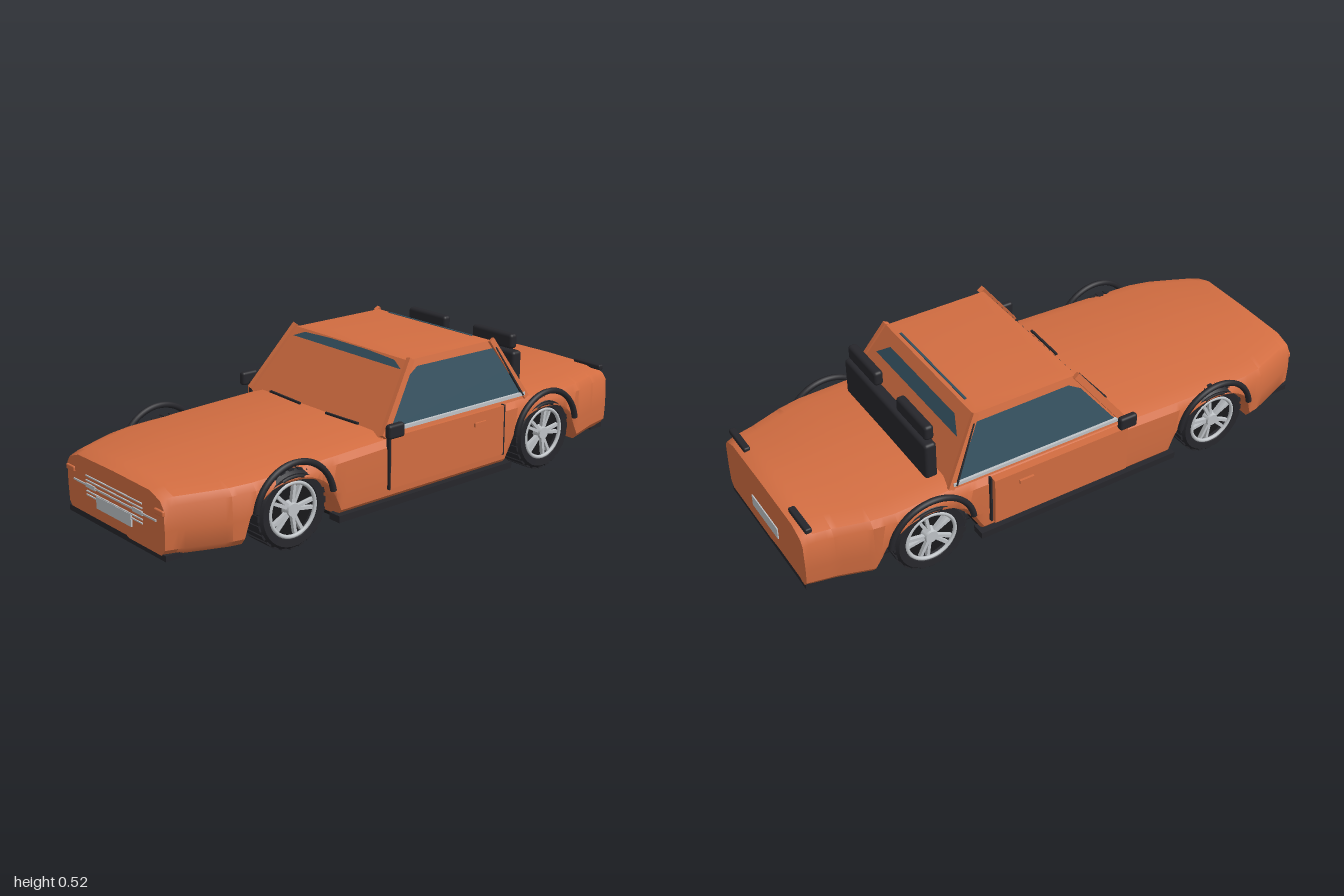
import * as THREE from 'three';
import { toCreasedNormals } from 'three/addons/utils/BufferGeometryUtils.js';
import { RoundedBoxGeometry } from 'three/addons/geometries/RoundedBoxGeometry.js';

const mat = (name, color, side = THREE.FrontSide) => {
  const m = new THREE.MeshStandardMaterial({ color, side });
  m.name = name;
  return m;
};

// Linear lookup in a short list of [position, value] pairs, position descending
function lerpTable(t, z) {
  for (let i = 0; i < t.length - 1; i++) {
    const [z0, v0] = t[i], [z1, v1] = t[i + 1];
    if (z <= z0 && z >= z1) return v0 + (v1 - v0) * (z0 - z) / (z0 - z1);
  }
  return z > t[0][0] ? t[0][1] : t[t.length - 1][1];
}

// Skin over closed rings of equal length, with both ends capped
function loft(rings, crease = 0.5) {
  const out = [], n = rings[0].length;
  const tri = (...p) => p.forEach((q) => out.push(...q));
  for (let k = 0; k < rings.length - 1; k++) for (let i = 0; i < n; i++) {
    const j = (i + 1) % n, a = rings[k], b = rings[k + 1];
    tri(a[i], b[i], b[j]);
    tri(a[i], b[j], a[j]);
  }
  const mid = (r) => [0, 1, 2].map((c) => r.reduce((s, p) => s + p[c], 0) / n);
  const first = rings[0], last = rings[rings.length - 1];
  for (let i = 0; i < n; i++) {
    const j = (i + 1) % n;
    tri(mid(first), first[i], first[j]);
    tri(mid(last), last[j], last[i]);
  }
  const g = new THREE.BufferGeometry();
  g.setAttribute('position', new THREE.Float32BufferAttribute(out, 3));
  return toCreasedNormals(g, crease);
}

// Flat convex face through a few corners
function face(pts) {
  const out = [];
  for (let i = 1; i < pts.length - 1; i++) out.push(...pts[0], ...pts[i], ...pts[i + 1]);
  const g = new THREE.BufferGeometry();
  g.setAttribute('position', new THREE.Float32BufferAttribute(out, 3));
  g.computeVertexNormals();
  return g;
}

export function createModel() {
  const car = new THREE.Group();
  const paint = mat('orange paint', 0xd26d41);
  const black = mat('black trim', 0x26262b);
  const under = mat('underbody black', 0x19191b);
  const glass = mat('tinted glass', 0x34505f, THREE.DoubleSide);
  const silver = mat('silver', 0xbfc3c7);

  const add = (name, geo, m, x = 0, y = 0, z = 0, parent = car) => {
    const mesh = new THREE.Mesh(geo, m);
    mesh.name = name;
    mesh.position.set(x, y, z);
    parent.add(mesh);
    return mesh;
  };
  const box = (name, m, w, h, d, x, y, z, parent) => add(name, new THREE.BoxGeometry(w, h, d), m, x, y, z, parent);
  const pad = (name, m, w, h, d, x, y, z, r) => add(name, new RoundedBoxGeometry(w, h, d, 3, r), m, x, y, z);
  const beam = (name, m, a, b, w, d) => {
    const p = new THREE.Vector3(...a), q = new THREE.Vector3(...b);
    const mesh = box(name, m, w, p.distanceTo(q), d, 0, 0, 0);
    mesh.position.copy(p).add(q).multiplyScalar(0.5);
    mesh.quaternion.setFromUnitVectors(new THREE.Vector3(0, 1, 0), q.sub(p).normalize());
  };

  // Lower body with wheel openings
  const axles = [0.575, -0.58];
  const halfWidth = [[1, 0.285], [0.96, 0.298], [0.88, 0.33], [0.8, 0.36], [0.72, 0.375], [0.4, 0.378],
    [-0.7, 0.375], [-0.78, 0.362], [-0.9, 0.325], [-1, 0.305]];
  const topLine = [[1, 0.266], [0.96, 0.274], [0.2, 0.3], [-0.5, 0.31], [-0.97, 0.296], [-1, 0.288]];
  const rings = [];
  for (let k = 0; k <= 100; k++) {
    const z = 1 - k * 0.02;
    const w = lerpTable(halfWidth, z), t = lerpTable(topLine, z), b = 0.064;
    let a = b;
    for (const c of axles) {
      const d = (z - c) / 0.185;
      if (Math.abs(d) < 1) a = b + 0.148 * Math.sqrt(1 - d * d);
    }
    const half = [[0.235, b], [0.235, a], [w - 0.022, a], [w - 0.004, a + 0.022], [w, Math.max(0.15, a + 0.03)],
      [w - 0.003, t - 0.045], [w - 0.02, t - 0.022], [w - 0.075, t - 0.003]];
    rings.push([[0, b, z], ...half.map(([x, y]) => [x, y, z]), [0, t, z],
      ...half.slice().reverse().map(([x, y]) => [-x, y, z])]);
  }
  add('body', loft(rings, 0.6), paint);

  // Cabin shell
  const cabin = [[0.516, 0.25, -0.02, -0.33], [0.508, 0.297, 0.025, -0.37], [0.285, 0.357, 0.192, -0.503]]
    .map(([y, x, f, r]) => [[x, y, f], [x, y, r], [-x, y, r], [-x, y, f]]);
  add('cabin', loft(cabin, 0.3), paint);
  const sideX = (y) => 0.357 - (y - 0.285) * 0.269;
  const frontZ = (y) => 0.192 - (y - 0.285) * 0.749 + 0.003;
  const backZ = (y) => -0.503 + (y - 0.285) * 0.596 - 0.003;

  // Windscreen and rear window strips
  add('windscreen', face([[-0.29, 0.48], [0.29, 0.48], [0.24, 0.5], [0.1, 0.505], [-0.1, 0.505], [-0.24, 0.5]]
    .map(([x, y]) => [x, y, frontZ(y)])), glass);
  add('rearWindow', face([[0.28, 0.425], [-0.28, 0.425], [-0.22, 0.47], [0.22, 0.47]]
    .map(([x, y]) => [x, y, backZ(y)])), glass);
  box('roofRearSlot', glass, 0.44, 0.004, 0.008, 0, 0.512, -0.353);

  for (const s of [1, -1]) {
    // Side glass, belt strip and pillars
    add('sideWindow', face([[0.312, 0.15], [0.312, -0.465], [0.4, -0.425], [0.482, -0.375], [0.485, -0.01], [0.46, 0.035]]
      .map(([y, z]) => [s * (sideX(y) + 0.004), y, z])), glass);
    box('beltStrip', silver, 0.012, 0.012, 0.65, s * 0.356, 0.305, -0.16);
    beam('frontPillar', paint, [s * 0.362, 0.29, 0.19], [s * 0.306, 0.514, 0.02], 0.018, 0.024);
    beam('rearPillar', paint, [s * 0.356, 0.29, -0.495], [s * 0.302, 0.512, -0.365], 0.014, 0.022);
    beam('pillarSeal', black, [s * 0.361, 0.3, -0.475], [s * 0.312, 0.485, -0.378], 0.008, 0.006);

    // Door with its shut lines, handle and sill
    const dx = s > 0 ? 0.38 : -0.388;
    box('door', paint, s > 0 ? 0.012 : 0.03, 0.18, 0.53, dx, 0.203, -0.09);
    for (const z of [0.18, -0.358]) box('doorGap', black, 0.016, 0.185, 0.006, s * 0.378, 0.202, z);
    box('doorHandle', paint, 0.012, 0.014, 0.055, dx + s * (s > 0 ? 0.007 : 0.018), 0.252, -0.235);
    box('sill', black, 0.05, 0.024, 0.8, s * 0.362, 0.062, 0);

    // Wing mirror
    pad('mirror', black, 0.026, 0.05, 0.07, s * 0.4, 0.32, 0.172, 0.01);
    box('mirrorArm', black, 0.05, 0.014, 0.02, s * 0.375, 0.302, 0.17);

    // Wiper, marker lamp, headlamp bar, tail spoiler
    const wiper = box('wiper', black, 0.17, 0.007, 0.008, s * 0.155, 0.306, 0.194);
    wiper.rotation.z = s * 0.025;
    pad('markerLamp', paint, 0.05, 0.02, 0.012, s * 0.26, 0.206, 1, 0.005);
    box('headlamp', silver, 0.056, 0.014, 0.008, s * 0.138, 0.173, 1);
    pad('tailSpoiler', black, 0.13, 0.02, 0.024, s * 0.235, 0.295, -0.972, 0.006);

    // Headrest, exhaust pipe and its hanger
    pad('headrest', black, 0.2, 0.055, 0.035, s * 0.172, 0.472, -0.517, 0.012);
    box('headrestPost', black, 0.05, 0.04, 0.014, s * 0.172, 0.44, -0.517);
    add('exhaustPipe', new THREE.CylinderGeometry(0.013, 0.013, 1.45, 12).rotateX(Math.PI / 2), black, s * 0.172, 0.026, -0.225);
    const hanger = box('pipeHanger', black, 0.09, 0.016, 0.03, s * 0.172, 0.045, 0.46);
    hanger.rotation.z = s * 0.25;

    // Wheels and arch flares
    for (const z of axles) {
      const arc = new THREE.TorusGeometry(0.156, 0.011, 8, 32, Math.PI * 0.9).rotateZ(Math.PI * 0.05).rotateY(Math.PI / 2);
      add('archFlare', arc, black, s * 0.384, 0.143, z);
      const lip = new THREE.TorusGeometry(0.115, 0.008, 6, 16, 0.75).rotateZ(Math.PI / 2 - 0.375).rotateY(Math.PI / 2);
      add('tyreTop', lip, black, s * 0.37, 0.134, z);

      const wheel = new THREE.Group();
      wheel.name = 'wheel';
      wheel.position.set(s * 0.315, 0.137, z);
      wheel.rotation.z = -s * Math.PI / 2;
      car.add(wheel);
      const profile = [[0.094, -0.05], [0.098, -0.058], [0.122, -0.06], [0.133, -0.046], [0.133, 0.046],
        [0.122, 0.06], [0.098, 0.058], [0.094, 0.05], [0.094, 0.02]].map((p) => new THREE.Vector2(...p));
      add('tyre', toCreasedNormals(new THREE.LatheGeometry(profile, 40), 0.6), black, 0, 0, 0, wheel);
      add('wheelDisc', new THREE.CylinderGeometry(0.095, 0.095, 0.06, 32), under, 0, 0, 0, wheel);
      add('rimRing', new THREE.TorusGeometry(0.09, 0.007, 8, 40).rotateX(Math.PI / 2), silver, 0, 0.052, 0, wheel);
      add('hub', new THREE.CylinderGeometry(0.022, 0.028, 0.03, 20), silver, 0, 0.044, 0, wheel);
      for (let i = 0; i < 5; i++) for (const o of [-0.16, 0.16]) {
        const spoke = add('spoke', new THREE.BoxGeometry(0.074, 0.014, 0.011).translate(0.05, 0, 0), silver, 0, 0.044, 0, wheel);
        spoke.rotation.y = i * Math.PI * 0.4 + Math.PI / 2 + o;
      }
      for (let i = 0; i < 24; i++) {
        const a = i * Math.PI / 12;
        const tread = box('tread', black, 0.008, 0.1, 0.02, Math.cos(a) * 0.132, 0, -Math.sin(a) * 0.132, wheel);
        tread.rotation.y = a;
      }
    }
  }

  // Grille bars, plates and bumpers
  for (const y of [0.206, 0.19, 0.153, 0.14]) box('grilleBar', silver, 0.33, 0.004, 0.008, 0, y, 1);
  box('grilleCentreBar', silver, 0.485, 0.006, 0.007, 0, 0.173, 1);
  box('frontPlate', silver, 0.205, 0.042, 0.009, 0, 0.131, 1.001);
  box('rearPlate', silver, 0.2, 0.045, 0.008, 0, 0.145, -1);
  box('frontBumper', black, 0.57, 0.02, 0.06, 0, 0.06, 0.97);
  box('rearBumper', black, 0.58, 0.02, 0.06, 0, 0.06, -0.97);

  // Seat back behind the cabin
  pad('seatBack', black, 0.57, 0.145, 0.045, 0, 0.365, -0.522, 0.012);

  // Underbody, axles and silencer
  box('floorPan', under, 0.47, 0.012, 1.64, 0, 0.058, 0);
  box('floorMiddle', under, 0.7, 0.01, 0.76, 0, 0.057, 0);
  for (const z of axles) add('axle', new THREE.CylinderGeometry(0.014, 0.014, 0.6, 12).rotateZ(Math.PI / 2), black, 0, 0.1, z);
  pad('silencer', black, 0.265, 0.045, 0.38, -0.113, 0.03, -0.53, 0.016);

  return car;
}
